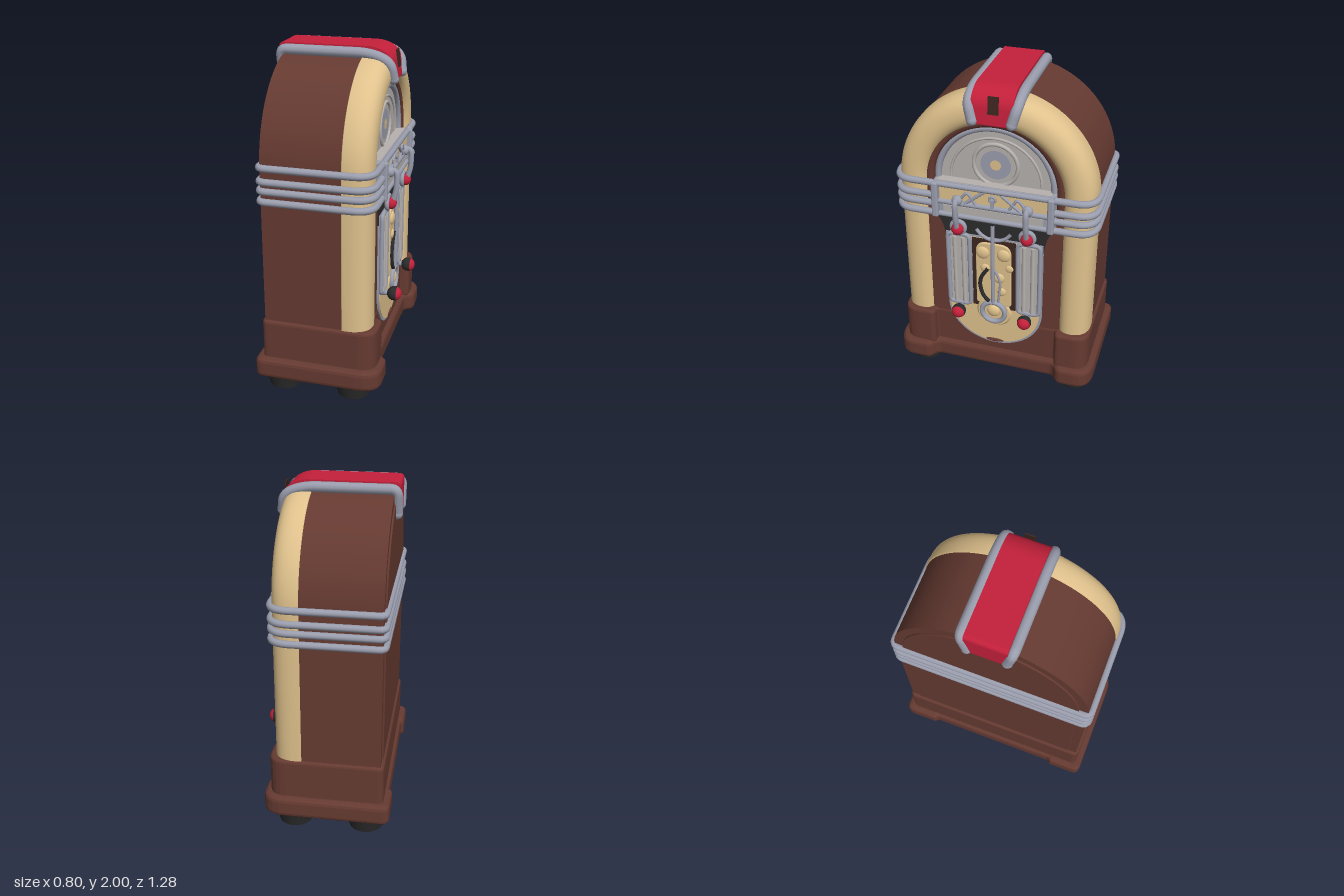
import * as THREE from 'three';
import { RoundedBoxGeometry } from 'three/addons/geometries/RoundedBoxGeometry.js';

const paint = (name, color, side = THREE.FrontSide) => {
  const m = new THREE.MeshStandardMaterial({ color, side });
  m.name = name;
  return m;
};

// Polyline with softened corners; each point is [x, y, z, cornerRadius]
function softPath(pts, closed = false) {
  const path = new THREE.CurvePath();
  const v = pts.map(p => new THREE.Vector3(p[0], p[1], p[2]));
  const n = v.length;
  const toward = (a, b, r) => a.clone().add(b.clone().sub(a).setLength(Math.min(r, a.distanceTo(b) * 0.49)));
  const start = closed ? v[0].clone().lerp(v[1], 0.5) : v[0];
  let last = start;
  for (let k = 1; k < (closed ? n + 1 : n - 1); k++) {
    const i = k % n, r = pts[i][3] ?? 0.03;
    const a = toward(v[i], v[(i + n - 1) % n], r), b = toward(v[i], v[(i + 1) % n], r);
    path.add(new THREE.LineCurve3(last, a));
    path.add(new THREE.QuadraticBezierCurve3(a, v[i], b));
    last = b;
  }
  path.add(new THREE.LineCurve3(last, closed ? start : v[n - 1]));
  return path;
}
const tube = (pts, r, closed = false, seg = 64) => new THREE.TubeGeometry(softPath(pts, closed), seg, r, 10, closed);

// Flat outline with softened corners; each point is [x, y, cornerRadius]
function softShape(pts) {
  const path = softPath(pts.map(([x, y, r = 0.03]) => [x, y, 0, r]), true);
  const out = path.curves.flatMap(c => c.getPoints(c.isLineCurve3 ? 1 : 6).slice(0, -1));
  return new THREE.Shape(out.map(p => new THREE.Vector2(p.x, p.y)));
}
const slab = (shape, depth, bevel = 0) => {
  const g = new THREE.ExtrudeGeometry(shape, {
    depth: depth - 2 * bevel, bevelEnabled: bevel > 0, bevelSize: bevel,
    bevelThickness: bevel, bevelOffset: -bevel, bevelSegments: 3, curveSegments: 40
  });
  return g.translate(0, 0, bevel);
};
// Plan outline (x, z) raised from y0 to y1
const plan = (half, y0, y1, bevel) => {
  const mirrored = half.slice().reverse().map(([x, z, r]) => [-x, z, r]);
  return slab(softShape([...half, ...mirrored]), y1 - y0, bevel).rotateX(Math.PI / 2).translate(0, y1, 0);
};

// Sweeps a (radius, z) profile up one side, over the arch and down the other
function archSweep(profile, y0, cy) {
  const stations = [[y0, 0], [(y0 + cy) / 2, 0]];
  for (let i = 0; i <= 48; i++) stations.push([cy, (Math.PI * i) / 48]);
  stations.push([(y0 + cy) / 2, Math.PI], [y0, Math.PI]);
  const pos = [], idx = [], m = profile.length;
  stations.forEach(([y, a], i) => profile.forEach((p, j) => {
    pos.push(-Math.cos(a) * p.x, y + Math.sin(a) * p.x, p.y);
    if (i && j) {
      const d = i * m + j, c = d - 1, b = d - m, e = b - 1;
      idx.push(e, b, c, b, d, c);
    }
  }));
  const g = new THREE.BufferGeometry();
  g.setAttribute('position', new THREE.Float32BufferAttribute(pos, 3));
  g.setIndex(idx);
  g.computeVertexNormals();
  return g;
}

export function createModel() {
  const model = new THREE.Group();
  const cabinet = new THREE.Group();
  cabinet.name = 'jukeboxCabinet';
  cabinet.rotation.y = Math.PI / 2; // display side looks along +x
  model.add(cabinet);

  const wood = paint('brownWood', 0x653a31);
  const cream = paint('creamPlastic', 0xdfc18c, THREE.DoubleSide);
  const chrome = paint('greyChrome', 0x9b9eae);
  const pale = paint('paleGrey', 0xb7b2af);
  const red = paint('redPlastic', 0xc4203a);
  const black = paint('blackRubber', 0x2b2b2b);
  const dark = paint('darkRecess', 0x3d2620);

  const add = (name, geo, mat, x = 0, y = 0, z = 0) => {
    const m = new THREE.Mesh(geo, mat);
    m.name = name;
    m.position.set(x, y, z);
    cabinet.add(m);
    return m;
  };
  const ball = (r, ...a) => new THREE.SphereGeometry(r, 20, 14, ...a);

  // Base, plinth and feet
  add('base', plan([[0.385, 0.3, 0.03], [0.42, 0.36, 0.03], [0.64, 0.36, 0.14], [0.64, -0.4, 0.05],
    [0.43, -0.4, 0.01], [0.41, -0.38, 0.01]], 0.08, 0.21, 0.03), wood);
  add('plinth', plan([[0.385, 0.27, 0.01], [0.395, 0.325, 0.03], [0.6, 0.325, 0.1], [0.6, -0.36, 0.04]], 0.19, 0.45, 0.02), wood);
  for (const x of [-0.5, 0.5]) for (const z of [-0.25, 0.18])
    add('foot', new THREE.CylinderGeometry(0.12, 0.1, 0.09, 20), black, x, 0.045, z);

  // Arched body and front panel
  const CY = 1.375;
  const arch = (r, y0, cy) => {
    const s = new THREE.Shape().moveTo(-r, y0).lineTo(r, y0).lineTo(r, cy);
    s.absarc(0, cy, r, 0, Math.PI, false);
    return s.closePath();
  };
  add('body', slab(arch(0.583, 0.3, CY), 0.55), wood, 0, 0, -0.34);
  add('backPanel', slab(arch(0.53, 0.47, CY), 0.012, 0.004), wood, 0, 0, -0.35);
  add('frontPanel', new THREE.BoxGeometry(0.82, 1.0, 0.1), wood, 0, 0.7, 0.215);

  // Cream light tube around the front edge
  const profile = new THREE.Path().moveTo(0.583, 0.125).lineTo(0.59, 0.13).lineTo(0.59, 0.18);
  profile.quadraticCurveTo(0.585, 0.29, 0.48, 0.292).quadraticCurveTo(0.4, 0.29, 0.395, 0.2);
  add('lightTube', archSweep(profile.getPoints(10), 0.44, CY), cream);
  const rim = new THREE.Path().moveTo(0.42, 0.2).lineTo(0.415, 0.255).quadraticCurveTo(0.39, 0.27, 0.365, 0.25).lineTo(0.36, 0.2);
  add('innerArchRim', archSweep(rim.getPoints(5), 1.2, 1.4), wood);

  // Chrome rings round the cabinet
  for (const y of [1.393, 1.313, 1.258, 1.196])
    add('chromeRing', tube([[0.37, y, 0.3], [0.595, y, 0.3, 0.12], [0.595, y, -0.35, 0.04], [-0.595, y, -0.35, 0.04],
      [-0.595, y, 0.3, 0.12], [-0.37, y, 0.3]], 0.021, false, 160), chrome);
  for (const s of [-1, 1]) for (const y of [1.393, 1.313, 1.258, 1.196])
    add('ringEnd', ball(0.021), chrome, s * 0.37, y, 0.3);

  // Red crown with chrome edges
  const crown = softShape([[-0.372, 1.8, 0.02], [-0.372, 2, 0.03], [0.2, 2, 0.05], [0.29, 1.95, 0.05], [0.31, 1.8, 0.01]]);
  add('crown', slab(crown, 0.24).rotateY(-Math.PI / 2), red, 0.12);
  for (const s of [-1, 1]) {
    const edge = add('crownEdge', tube([[s * 0.11, 1.82, -0.355], [s * 0.142, 1.965, -0.355, 0.04],
      [s * 0.142, 1.965, 0.17, 0.08], [s * 0.14, 1.92, 0.285, 0.08], [s * 0.112, 1.82, 0.3]], 0.031, false, 80), chrome);
    for (const z of [-0.355, 0.3]) add('crownEdgeTip', ball(0.031), chrome, s * 0.112, 1.82, z);
  }
  add('crownPatch', new THREE.BoxGeometry(0.06, 0.1, 0.006), dark, 0.01, 1.92, 0.301).rotation.x = -0.15;

  // Half-round display
  add('displayPanel', slab(arch(0.35, 1.38, 1.41), 0.03), pale, 0, 0, 0.2);
  add('displayRim', new THREE.TorusGeometry(0.345, 0.02, 10, 48, Math.PI), chrome, 0, 1.41, 0.235);
  add('displayArc', new THREE.TorusGeometry(0.27, 0.008, 8, 40, Math.PI), pale, 0, 1.42, 0.23);
  add('discRim', new THREE.TorusGeometry(0.13, 0.012, 10, 40), pale, 0, 1.525, 0.23);
  add('disc', new THREE.CircleGeometry(0.09, 32), chrome, 0.0, 1.525, 0.232);
  add('discLabel', new THREE.CircleGeometry(0.032, 24), cream, 0, 1.525, 0.234);

  // Selector bar
  add('selectorBar', new RoundedBoxGeometry(0.73, 0.23, 0.12, 3, 0.015), chrome, 0, 1.292, 0.235);
  add('selectorShelf', new THREE.BoxGeometry(0.68, 0.006, 0.07), pale, 0, 1.407, 0.25);
  add('selectorWindow', new THREE.BoxGeometry(0.64, 0.085, 0.008), cream, 0, 1.337, 0.297);
  add('selectorStrip', new THREE.BoxGeometry(0.6, 0.05, 0.008), pale, 0, 1.233, 0.297);
  for (const y of [1.392, 1.28, 1.195])
    add('selectorRail', tube([[-0.36, y, 0.3], [0, y, 0.3], [0.36, y, 0.3]], 0.017, false, 8), chrome);
  add('coinSlot', new THREE.TorusGeometry(0.018, 0.008, 8, 20), chrome, 0, 1.34, 0.305);
  add('coinSlotStem', new THREE.BoxGeometry(0.02, 0.06, 0.02), chrome, 0, 1.31, 0.305);

  for (const s of [-1, 1]) {
    // Bar end caps and struts
    add('barEnd', new RoundedBoxGeometry(0.04, 0.23, 0.05, 2, 0.012), chrome, s * 0.345, 1.292, 0.305);
    add('barStrut', tube([[s * 0.05, 1.38, 0.305], [s * 0.1, 1.34, 0.305], [s * 0.17, 1.285, 0.305]], 0.01, false, 10), chrome);
    add('barStrut', tube([[s * 0.21, 1.29, 0.305], [s * 0.15, 1.37, 0.305], [s * 0.1, 1.29, 0.305]], 0.009, false, 20), chrome);
    // Hooked levers with red grips
    add('lever', tube([[s * 0.21, 1.31, 0.29], [s * 0.21, 1.32, 0.355, 0.05], [s * 0.21, 1.2, 0.352], [s * 0.21, 1.1, 0.325]], 0.017, false, 32), chrome);
    add('leverBoss', ball(0.032), chrome, s * 0.21, 1.305, 0.31);
    add('leverCollar', new THREE.TorusGeometry(0.04, 0.014, 10, 24), chrome, s * 0.21, 1.12, 0.305);
    add('leverGrip', ball(0.038), red, s * 0.21, 1.115, 0.318);
    // Side grilles
    add('grille', new THREE.BoxGeometry(0.11, 0.49, 0.02), pale, s * 0.215, 0.8, 0.28);
    for (const dx of [-0.027, 0.027])
      add('grilleRib', new THREE.CylinderGeometry(0.014, 0.014, 0.48, 10), pale, s * 0.215 + dx, 0.8, 0.288);
    add('grilleFrame', tube([[s * 0.15, 0.55, 0.287], [s * 0.15, 1.06, 0.287], [s * 0.285, 1.06, 0.287], [s * 0.285, 0.55, 0.287]], 0.014, true, 80), chrome);
    // Two-tone knobs on short stems
    add('knobStem', new THREE.CylinderGeometry(0.015, 0.02, 0.08, 12).rotateX(Math.PI / 2), chrome, s * 0.21, 0.53, 0.3);
    add('knobBack', ball(0.044, 0, Math.PI * 2, Math.PI * 0.38, Math.PI * 0.62).rotateX(Math.PI / 2), black, s * 0.21, 0.53, 0.353);
    add('knobFront', ball(0.044, 0, Math.PI * 2, 0, Math.PI * 0.38).rotateX(Math.PI / 2), red, s * 0.21, 0.53, 0.353);
  }

  // Lower panel: dark header, rounded cream plate, chrome outline
  const header = new THREE.Shape().moveTo(-0.38, 1.19).quadraticCurveTo(-0.31, 1.14, -0.3, 1.0).lineTo(0.3, 1.0);
  header.quadraticCurveTo(0.31, 1.14, 0.38, 1.19);
  add('darkHeader', slab(header, 0.008), black, 0, 0, 0.264);
  const lower = (rx, ry, y1) => {
    const s = new THREE.Shape().moveTo(rx, y1).lineTo(-rx, y1).lineTo(-rx, 0.54);
    s.absellipse(0, 0.54, rx, ry, Math.PI, Math.PI * 2, false);
    return s.closePath();
  };
  add('lowerOutline', slab(lower(0.3, 0.28, 1.06), 0.015), chrome, 0, 0, 0.262);
  add('lowerPlate', slab(lower(0.285, 0.265, 1.05), 0.02), cream, 0, 0, 0.262);
  add('lowerBadge', ball(0.06).scale(1, 0.22, 0.25), wood, 0, 0.285, 0.278);

  // Central mechanism
  add('mechanismRecess', new THREE.BoxGeometry(0.27, 0.5, 0.008), dark, 0, 0.8, 0.282);
  const plate = softShape([[-0.11, 0.58, 0.02], [0.11, 0.58, 0.02], [0.11, 1.03, 0.07], [-0.11, 1.03, 0.07]]);
  add('mechanismPlate', slab(plate, 0.02, 0.006), cream, 0, 0, 0.278);
  for (const [x, y, r] of [[-0.065, 0.96, 0.042], [0.065, 0.96, 0.042], [0.1, 0.87, 0.025], [0.035, 0.79, 0.035], [-0.05, 0.85, 0.03], [0.05, 0.69, 0.03]])
    add('mechanismBoss', ball(r).scale(1, 1, 0.4), cream, x, y, 0.298);
  add('hose', tube([[-0.03, 0.86, 0.305], [-0.09, 0.76, 0.305, 0.06], [-0.07, 0.65, 0.305, 0.05], [-0.02, 0.6, 0.305]], 0.012, false, 32), black);
  add('rod', tube([[0, 1.17, 0.305], [0, 0.9, 0.312], [0, 0.6, 0.308]], 0.013, false, 20), chrome);
  add('thinRod', tube([[0, 0.87, 0.31], [0.05, 0.78, 0.308, 0.05], [0.03, 0.6, 0.305]], 0.008, false, 24), chrome);
  add('bracketArc', new THREE.TorusGeometry(0.12, 0.011, 8, 28, Math.PI * 0.7).rotateZ(Math.PI * 1.15), chrome, 0, 1.17, 0.285);

  // Round dial below the rods
  add('dialSurround', new THREE.CylinderGeometry(0.1, 0.12, 0.025, 32).rotateX(Math.PI / 2), cream, 0, 0.52, 0.285);
  add('dialRing', new THREE.TorusGeometry(0.073, 0.016, 12, 36), chrome, 0, 0.53, 0.305);
  add('dialHub', ball(0.042).scale(1, 1, 0.5), cream, 0, 0.535, 0.3);

  return model;
}
